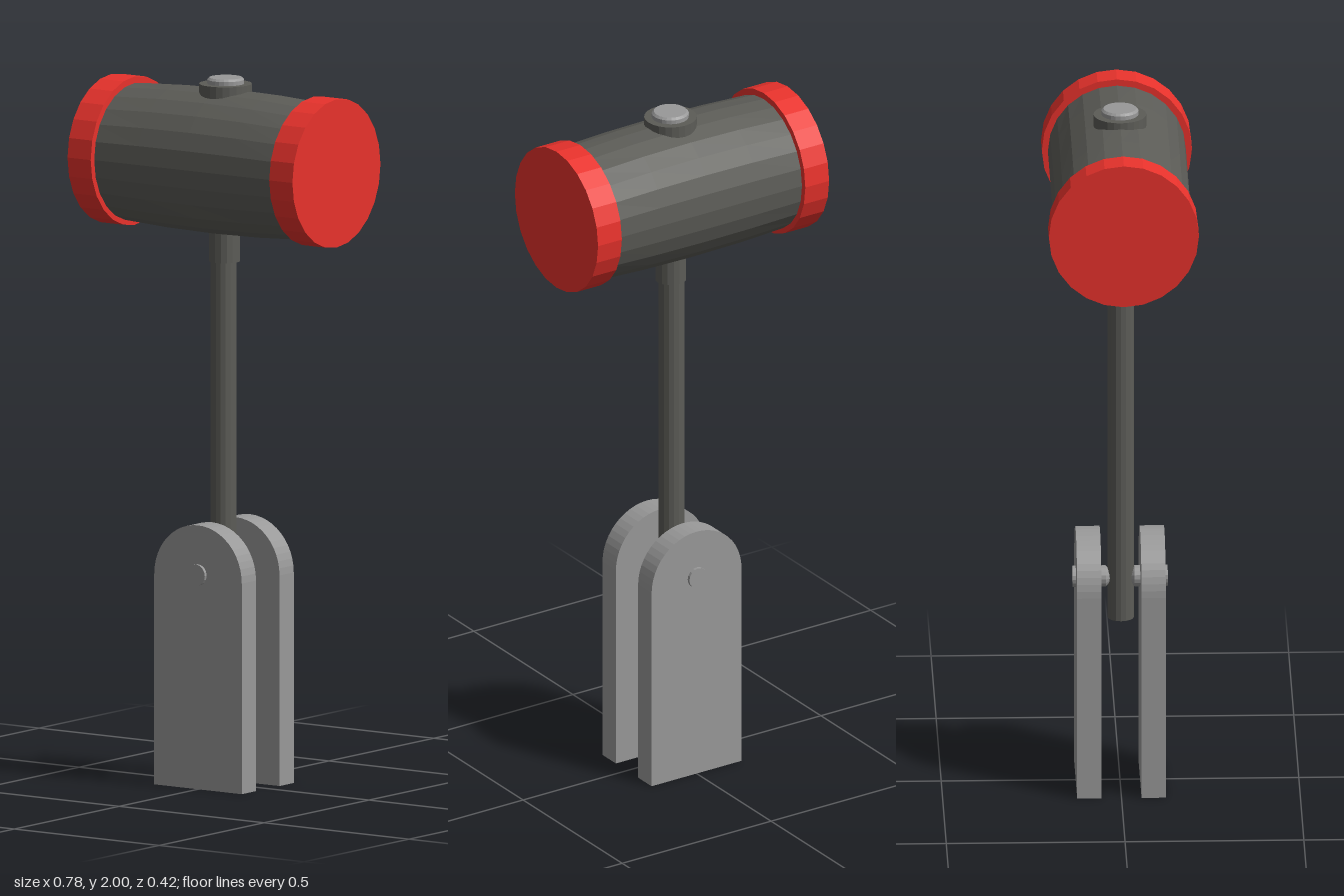
import * as THREE from 'three';

const material = (color) => new THREE.MeshStandardMaterial({ color, flatShading: true });
const dark = material(0x5c5c57);
const red = material(0xe8322c);
const steel = material(0x999999);

export function createModel() {
  const model = new THREE.Group();
  model.name = 'mallet';

  const add = (name, geometry, mat, x = 0, y = 0, z = 0, parent = model) => {
    const mesh = new THREE.Mesh(geometry, mat);
    mesh.name = name;
    mesh.position.set(x, y, z);
    parent.add(mesh);
    return mesh;
  };

  // Mallet head: a drum that swells vertically toward its middle
  const head = new THREE.Group();
  head.name = 'head';
  head.position.y = 1.761;
  model.add(head);

  const drum = new THREE.CylinderGeometry(0.193, 0.193, 0.64, 24, 4).rotateZ(Math.PI / 2);
  const pos = drum.attributes.position;
  for (let i = 0; i < pos.count; i++) {
    const t = pos.getX(i) / 0.32;
    pos.setY(i, pos.getY(i) * (1 + 0.06 * (1 - t * t)));
  }
  drum.computeVertexNormals();
  add('headDrum', drum, dark, 0, 0, 0, head);

  // Striking caps on both ends
  for (const side of [-1, 1]) {
    const cap = new THREE.CylinderGeometry(0.21, 0.21, 0.08, 24).rotateZ(Math.PI / 2);
    add(side > 0 ? 'leftCap' : 'rightCap', cap, red, side * 0.348, 0.002, 0, head);
  }

  // Washer and chamfered stud on top of the head
  add('washer', new THREE.CylinderGeometry(0.074, 0.074, 0.035, 24), dark, 0.005, 1.965);
  const studProfile = [[0, 1.95], [0.052, 1.95], [0.052, 1.994], [0.046, 2], [0, 2]];
  add('stud', new THREE.LatheGeometry(studProfile.map(([r, y]) => new THREE.Vector2(r, y)), 24),
    steel, 0.006);

  // Handle and the collar under the head
  add('handle', new THREE.CylinderGeometry(0.037, 0.037, 1.1, 16), dark, 0, 1.035, 0.002);
  add('collar', new THREE.CylinderGeometry(0.044, 0.044, 0.12, 16), dark, 0.003, 1.54, 0.002);

  // Round-topped support plates
  const outline = new THREE.Shape();
  outline.moveTo(-0.151, 0);
  outline.lineTo(0.151, 0);
  outline.lineTo(0.151, 0.596);
  outline.absarc(0, 0.596, 0.151, 0, Math.PI, false);
  outline.closePath();

  // Pivot pin with a conical tip that bites into the handle
  const pinProfile = [[0, 0.01], [0.03, 0.04], [0.03, 0.133], [0, 0.133]]
    .map(([r, y]) => new THREE.Vector2(r, y));

  for (const side of [1, -1]) {
    const end = side > 0 ? 'front' : 'back';
    const plate = new THREE.ExtrudeGeometry(outline, { depth: 0.068, bevelEnabled: false, curveSegments: 12 });
    plate.translate(0, 0, -0.034);
    add(end + 'Plate', plate, steel, 0, 0, side * 0.09);

    const pin = new THREE.LatheGeometry(pinProfile, 16).rotateX(side * Math.PI / 2);
    add(end + 'Pin', pin, steel, 0, 0.607, 0);
  }

  return model;
}
